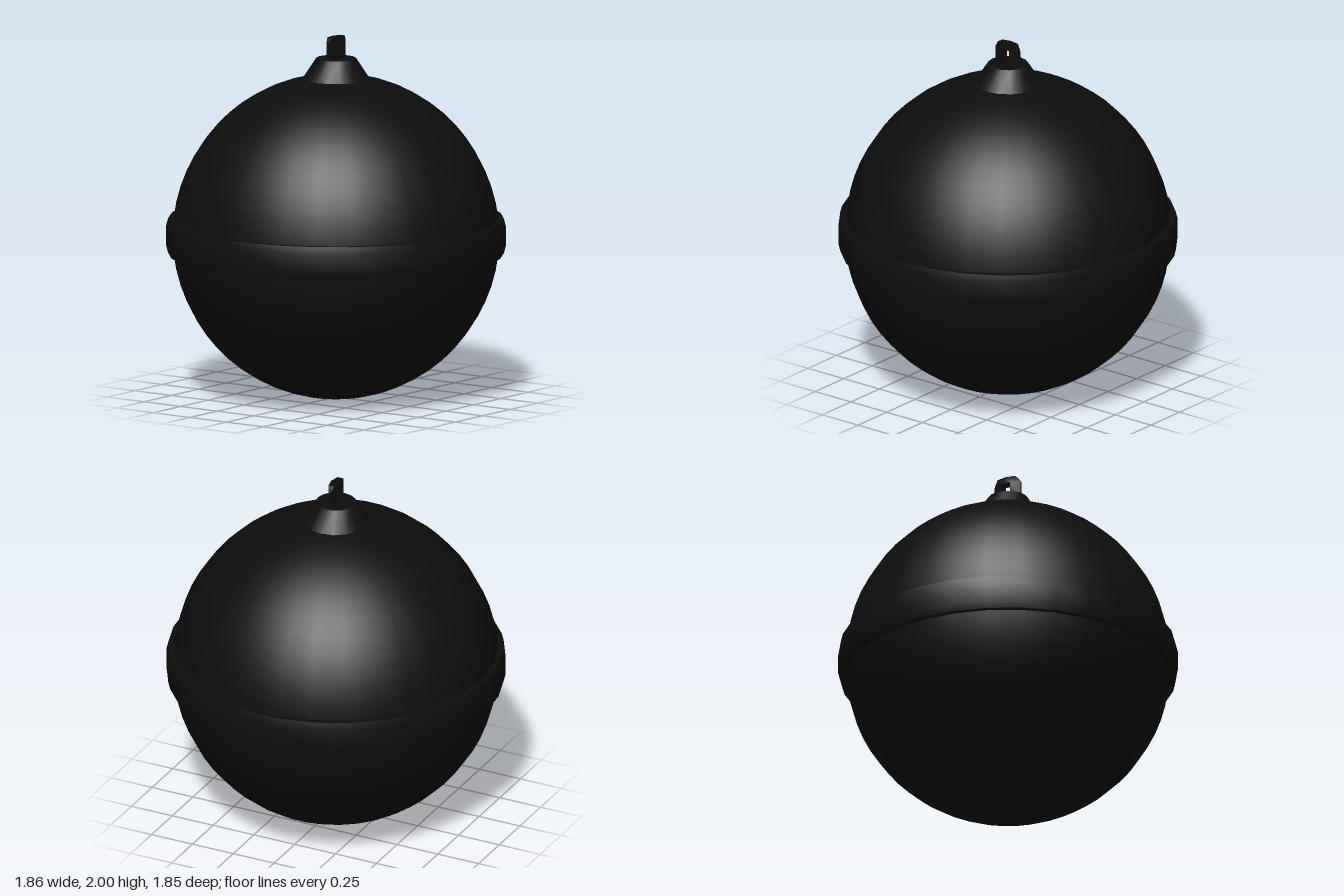
import * as THREE from 'three';
import { toCreasedNormals } from 'three/addons/utils/BufferGeometryUtils.js';

const SIDES = 30;
const RADIUS = 0.893;

export function createModel() {
  const group = new THREE.Group();
  const black = new THREE.MeshStandardMaterial({ color: 0x0d0d0d });
  black.name = 'black';

  function add(name, geometry) {
    const mesh = new THREE.Mesh(geometry, black);
    mesh.name = name;
    group.add(mesh);
    return mesh;
  }

  // Round body resting on the ground
  add('body', new THREE.SphereGeometry(RADIUS, SIDES, SIDES)).position.y = RADIUS;

  // Raised belt with slightly eased edges
  const beltProfile = [
    [0.86, 0.8], [0.918, 0.8], [0.928, 0.84], [0.928, 0.95], [0.918, 0.99], [0.86, 0.99],
  ].map(([r, y]) => new THREE.Vector2(r, y));
  const belt = new THREE.LatheGeometry(beltProfile, SIDES).rotateY(Math.PI / 2);
  add('belt', toCreasedNormals(belt, 0.7));

  // Tapered cap on the crown
  const cap = new THREE.CylinderGeometry(0.11, 0.195, 0.13, 16);
  add('cap', toCreasedNormals(cap, 0.6)).position.y = 1.815;

  // Hanging loop: a chamfered plate with a square eye
  const outline = [
    [-0.083, 1.86], [0, 1.86], [0.083, 1.86], [0.083, 1.965], [0.055, 2],
    [0, 2], [-0.055, 2], [-0.083, 1.965],
  ].map(([x, y]) => new THREE.Vector2(x, y));
  const eye = [
    [-0.03, 1.9], [-0.03, 1.965], [0, 1.965], [0.03, 1.965], [0.03, 1.9], [0, 1.9],
  ].map(([x, y]) => new THREE.Vector2(x, y));
  const plate = new THREE.Shape(outline);
  plate.holes.push(new THREE.Path(eye));
  const loop = new THREE.ExtrudeGeometry(plate, { depth: 0.06, bevelEnabled: false });
  loop.translate(0, 0, -0.03);

  // Thin the plate towards its two outer edges
  const p = loop.attributes.position;
  for (let i = 0; i < p.count; i++) {
    const t = p.getX(i) / 0.09;
    p.setZ(i, p.getZ(i) * (1 - t * t));
  }
  loop.rotateY(Math.PI / 2);
  add('hangingLoop', toCreasedNormals(loop, 0.8));

  return group;
}
